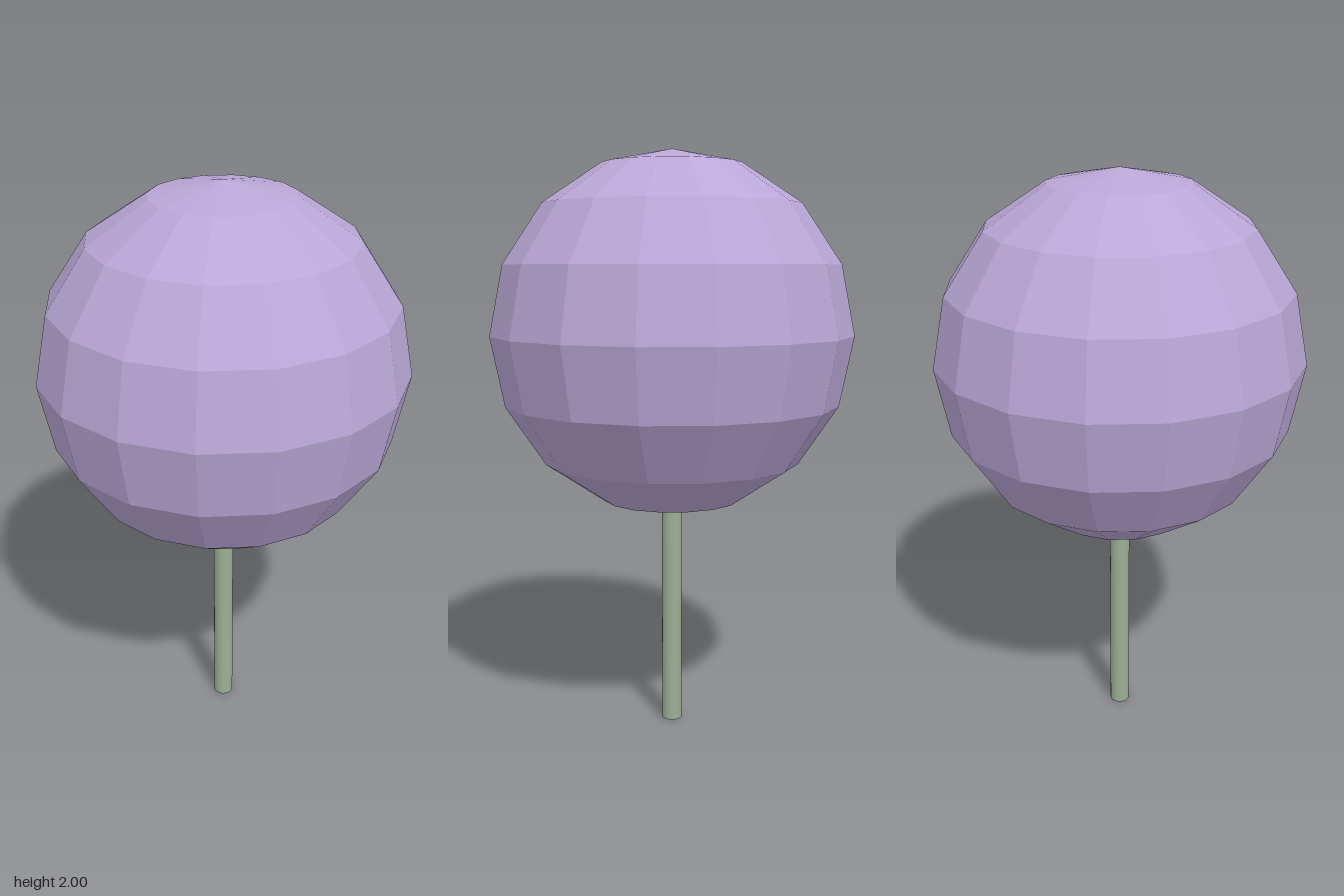
import * as THREE from 'three';

export function createModel() {
  const group = new THREE.Group();
  const radius = 0.62;
  const centreY = 2 - radius;

  const add = (name, geometry, color, y, flatShading) => {
    const material = new THREE.MeshStandardMaterial({ color, flatShading });
    const mesh = new THREE.Mesh(geometry, material);
    mesh.name = name;
    mesh.position.y = y;
    group.add(mesh);
  };

  // Faceted ball head
  add('ballHead', new THREE.SphereGeometry(radius, 16, 8), 0xb9a7d6, centreY, true);

  // Slim round stem, its top tucked inside the ball
  const stemHeight = 0.86;
  add('stem', new THREE.CylinderGeometry(0.035, 0.035, stemHeight, 16), 0x9caf94, stemHeight / 2, false);

  return group;
}
